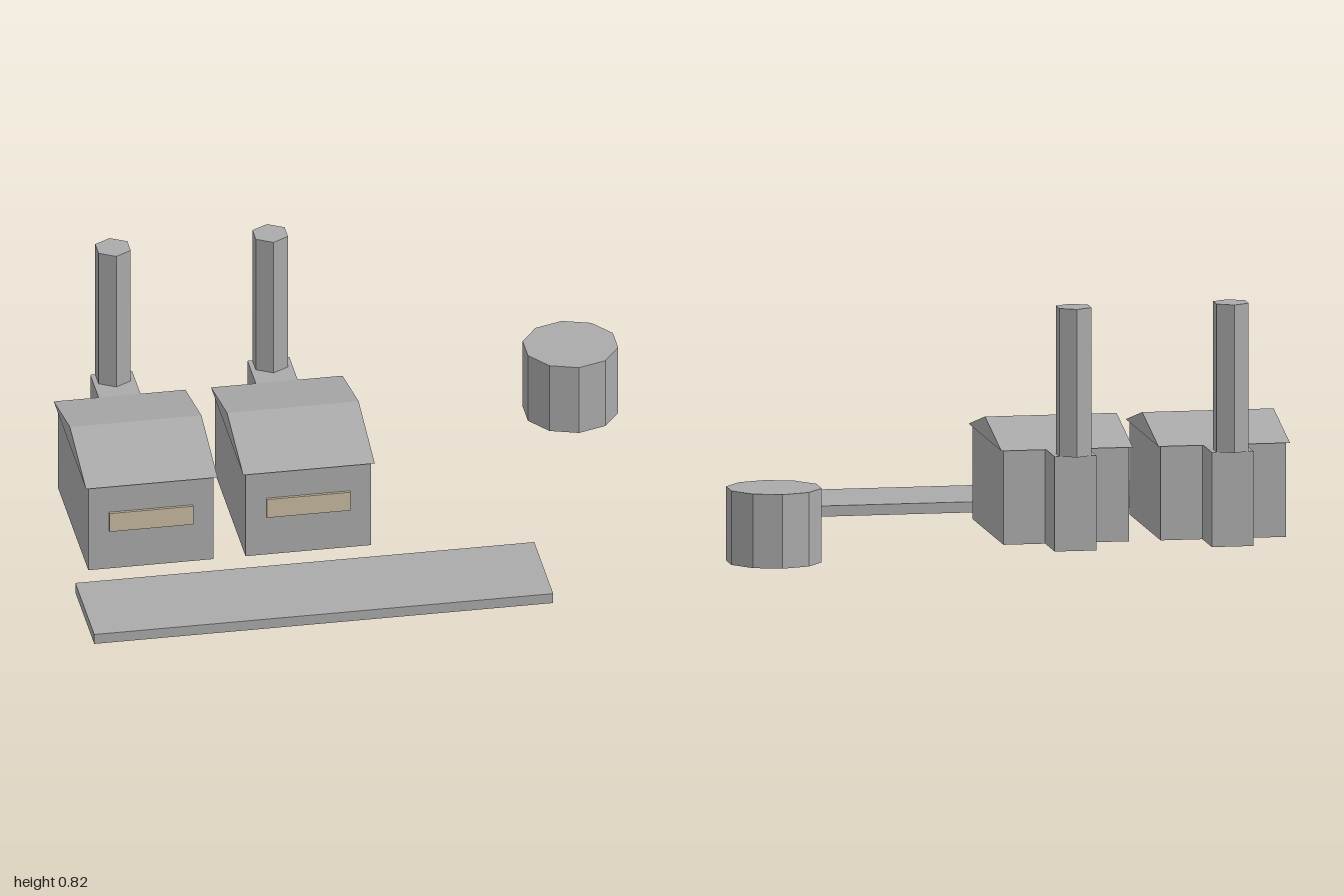
import * as THREE from 'three';

const grey = new THREE.MeshStandardMaterial({ color: 0xaaaaaa, flatShading: true, side: THREE.DoubleSide });
grey.name = 'grey';
const tan = new THREE.MeshStandardMaterial({ color: 0xc6ba9f, flatShading: true });
tan.name = 'tan';

function add(parent, name, geometry, material, x, y, z) {
  const mesh = new THREE.Mesh(geometry, material);
  mesh.name = name;
  mesh.position.set(x, y, z);
  parent.add(mesh);
  return mesh;
}

// Box standing on y = 0 without its bottom face
function openBox(w, h, d) {
  const g = new THREE.BoxGeometry(w, h, d).translate(0, h / 2, 0);
  const index = Array.from(g.index.array);
  index.splice(18, 6);
  g.setIndex(index);
  g.clearGroups();
  return g;
}

// Gabled roof prism with its ridge along x
function gable(w, h, d) {
  const s = new THREE.Shape();
  s.moveTo(-d / 2, 0);
  s.lineTo(d / 2, 0);
  s.lineTo(0, h);
  s.closePath();
  return new THREE.ExtrudeGeometry(s, { depth: w, bevelEnabled: false })
    .translate(0, 0, -w / 2)
    .rotateY(Math.PI / 2);
}

// Hall with roof, front window, rear annex and chimney
function building(name, x) {
  const g = new THREE.Group();
  g.name = name;
  g.position.x = x;
  add(g, 'walls', openBox(0.425, 0.32, 0.57), grey, 0, 0, -0.06);
  add(g, 'roof', gable(0.446, 0.07, 0.604), grey, 0, 0.32, -0.062);
  add(g, 'window', new THREE.BoxGeometry(0.284, 0.07, 0.0095), tan, 0, 0.18, 0.2298);
  add(g, 'chimneyBase', openBox(0.142, 0.32, 0.175), grey, 0, 0, -0.4325);
  add(g, 'chimney', new THREE.CylinderGeometry(0.063, 0.063, 0.5, 6), grey, 0, 0.57, -0.487);
  return g;
}

export function createModel() {
  const model = new THREE.Group();
  model.name = 'factory';

  // Two identical halls side by side
  model.add(building('leftHall', -0.185));
  model.add(building('rightHall', -0.718));

  // Paved yard in front
  add(model, 'yard', openBox(1.556, 0.036, 0.355), grey, -0.222, 0, 0.5425);

  // Ten-sided storage tank
  add(model, 'tank', new THREE.CylinderGeometry(0.161, 0.161, 0.25, 10), grey, 0.846, 0.125, -0.56);

  return model;
}
